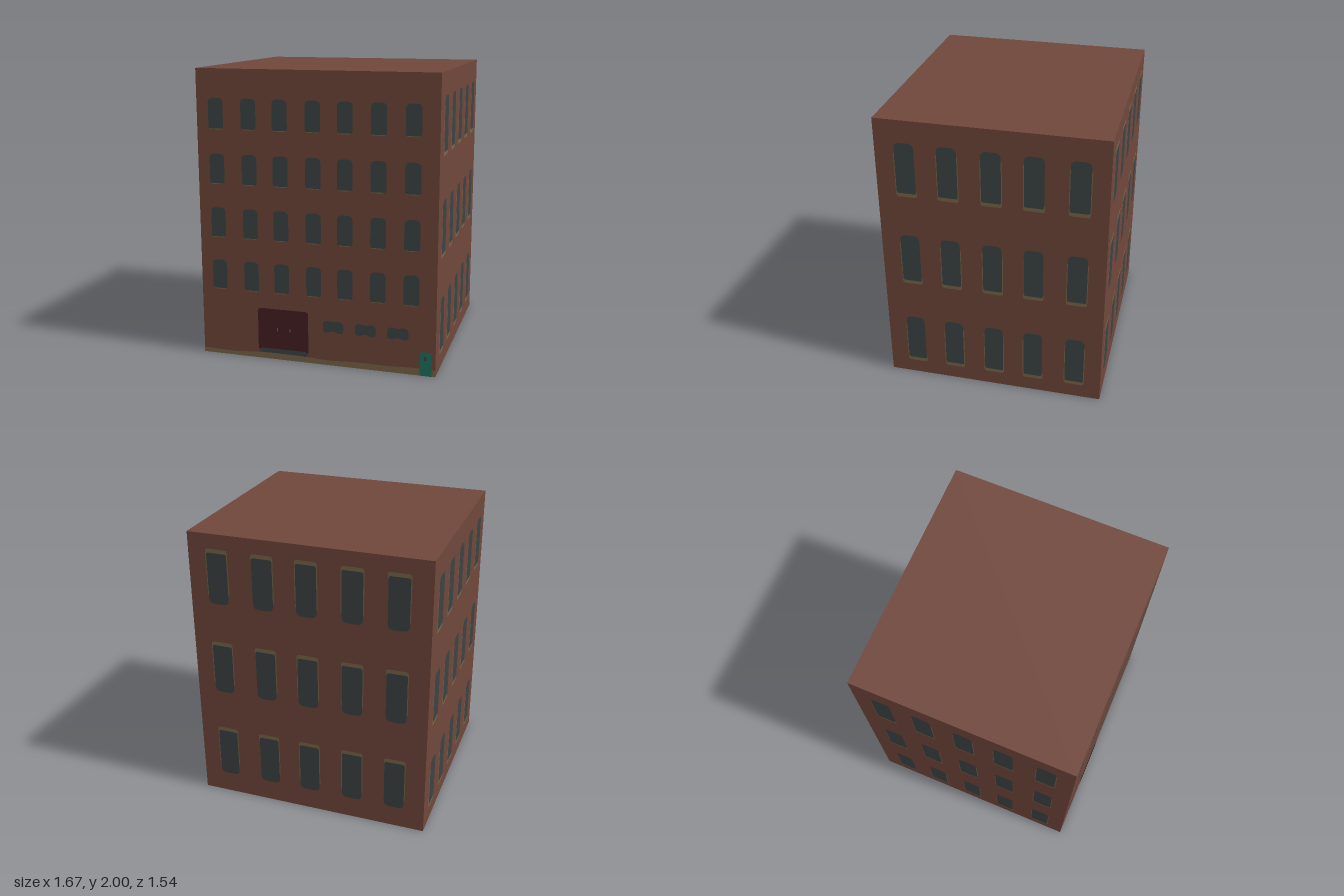
import * as THREE from 'three';

const W = 1.66, H = 2, D = 1.53;

const material = (name, color) => {
  const m = new THREE.MeshStandardMaterial({ color });
  m.name = name;
  return m;
};

// Upright panel with separate corner radii for its top and bottom
function panelShape(x0, x1, y0, y1, rTop, rBottom) {
  const s = new THREE.Shape();
  s.moveTo(x0 + rBottom, y0);
  s.lineTo(x1 - rBottom, y0);
  s.quadraticCurveTo(x1, y0, x1, y0 + rBottom);
  s.lineTo(x1, y1 - rTop);
  s.quadraticCurveTo(x1, y1, x1 - rTop, y1);
  s.lineTo(x0 + rTop, y1);
  s.quadraticCurveTo(x0, y1, x0, y1 - rTop);
  s.lineTo(x0, y0 + rBottom);
  s.quadraticCurveTo(x0, y0, x0 + rBottom, y0);
  return s;
}

// Painted flat detail lying just in front of a wall
function addPlate(parent, name, shape, mat, layer = 1, x = 0, y = 0) {
  const mesh = new THREE.Mesh(new THREE.ShapeGeometry(shape, 6), mat);
  mesh.name = name;
  mesh.position.set(x, y, layer * 0.0015);
  parent.add(mesh);
}

export function createModel() {
  const brick = material('brick red', 0x70473b);
  const glass = material('dark slate glass', 0x3c4343);
  const stone = material('tan stone', 0x786648);
  const doorRed = material('dark maroon', 0x451f21);
  const teal = material('teal', 0x1f705f);

  const building = new THREE.Group();
  building.name = 'building';

  const walls = new THREE.Mesh(new THREE.BoxGeometry(W, H, D), brick);
  walls.name = 'walls';
  walls.position.y = H / 2;
  building.add(walls);

  // Front: four rows of seven small windows
  const front = new THREE.Group();
  front.name = 'frontDetails';
  front.position.z = D / 2;
  building.add(front);
  const smallPane = panelShape(-0.053, 0.053, 0, 0.205, 0.035, 0.018);
  const smallSill = panelShape(-0.045, 0.04, -0.006, 0.03, 0.01, 0.01);
  for (const y of [0.483, 0.853, 1.226, 1.6]) {
    for (const x of [-0.693, -0.46, -0.24, -0.011, 0.208, 0.434, 0.661]) {
      addPlate(front, 'frontSill', smallSill, stone, 1, x, y);
      addPlate(front, 'frontWindow', smallPane, glass, 2, x, y);
    }
  }

  // Wavy pavement strip along the foot of the front wall
  const strip = new THREE.Shape();
  strip.moveTo(-W / 2, 0);
  strip.lineTo(W / 2, 0);
  strip.lineTo(W / 2, 0.045);
  strip.splineThru([[0.7, 0.05], [0.5, 0.042], [0.3, 0.043], [0.1, 0.034], [-0.05, 0.04],
    [-0.3, 0.043], [-0.48, 0.036], [-0.6, 0.028], [-W / 2, 0.033]].map(p => new THREE.Vector2(...p)));
  addPlate(front, 'pavementStrip', strip, stone, 1);

  // Double door, step and handles
  addPlate(front, 'door', panelShape(-0.418, -0.053, 0.06, 0.365, 0.02, 0.02), doorRed, 2);
  addPlate(front, 'doorStep', panelShape(-0.408, -0.06, 0.045, 0.077, 0.02, 0.014), glass, 3);
  for (const x of [-0.277, -0.186])
    addPlate(front, 'doorHandle', panelShape(-0.004, 0.004, 0.207, 0.23, 0.002, 0.002), stone, 3, x);

  // Low basement windows, pinched in the middle
  const low = new THREE.Shape();
  low.moveTo(-0.072, 0.275);
  low.splineThru([[-0.068, 0.242], [-0.04, 0.235], [0, 0.247], [0.04, 0.235], [0.068, 0.242], [0.073, 0.275],
    [0.066, 0.308], [0.04, 0.318], [0, 0.313], [-0.04, 0.318], [-0.066, 0.308], [-0.072, 0.275]]
    .map(p => new THREE.Vector2(...p)));
  for (const x of [0.124, 0.35, 0.573]) addPlate(front, 'basementWindow', low, glass, 2, x);

  // Teal street box with a small dark mark
  addPlate(front, 'streetBox', panelShape(0.725, 0.804, 0, 0.167, 0.018, 0.002), teal, 2);
  addPlate(front, 'streetBoxMark', panelShape(0.752, 0.77, 0.108, 0.136, 0.008, 0.008), glass, 3);

  // Sides and back: three rows of five tall windows
  const tallPane = panelShape(-0.066, 0.066, 0.027, 0.388, 0.04, 0.015);
  const tallSill = panelShape(-0.071, 0.071, 0, 0.05, 0.005, 0.018);
  const jamb = panelShape(-0.004, 0.004, 0.03, 0.325, 0.003, 0.003);
  const columns = [[-0.566, 1, 0], [-0.284, 1, 1], [0.004, 1, 1], [0.284, 1, 0], [0.578, 1, 1]];
  function tallWindows(name) {
    const wall = new THREE.Group();
    wall.name = name;
    for (const y of [0.103, 0.775, 1.457]) {
      for (const [x, left, right] of columns) {
        addPlate(wall, 'tallSill', tallSill, stone, 1, x, y);
        if (left) addPlate(wall, 'tallJamb', jamb, stone, 1, x - 0.068, y);
        if (right) addPlate(wall, 'tallJamb', jamb, stone, 1, x + 0.068, y);
        addPlate(wall, 'tallWindow', tallPane, glass, 2, x, y);
      }
    }
    building.add(wall);
    return wall;
  }

  for (const side of [1, -1]) {
    const wall = tallWindows(side > 0 ? 'leftWindows' : 'rightWindows');
    wall.rotation.y = side * Math.PI / 2;
    wall.position.x = side * W / 2;
  }

  // The back carries the same pattern, wider and turned upside down
  const back = tallWindows('backWindows');
  back.rotation.x = Math.PI;
  back.scale.x = W / D;
  back.position.set(0, H, -D / 2);
  // Mirror the column order to complete the half turn
  const flip = new THREE.Group();
  flip.name = 'backDetails';
  building.add(flip);
  flip.add(back);

  return building;
}
